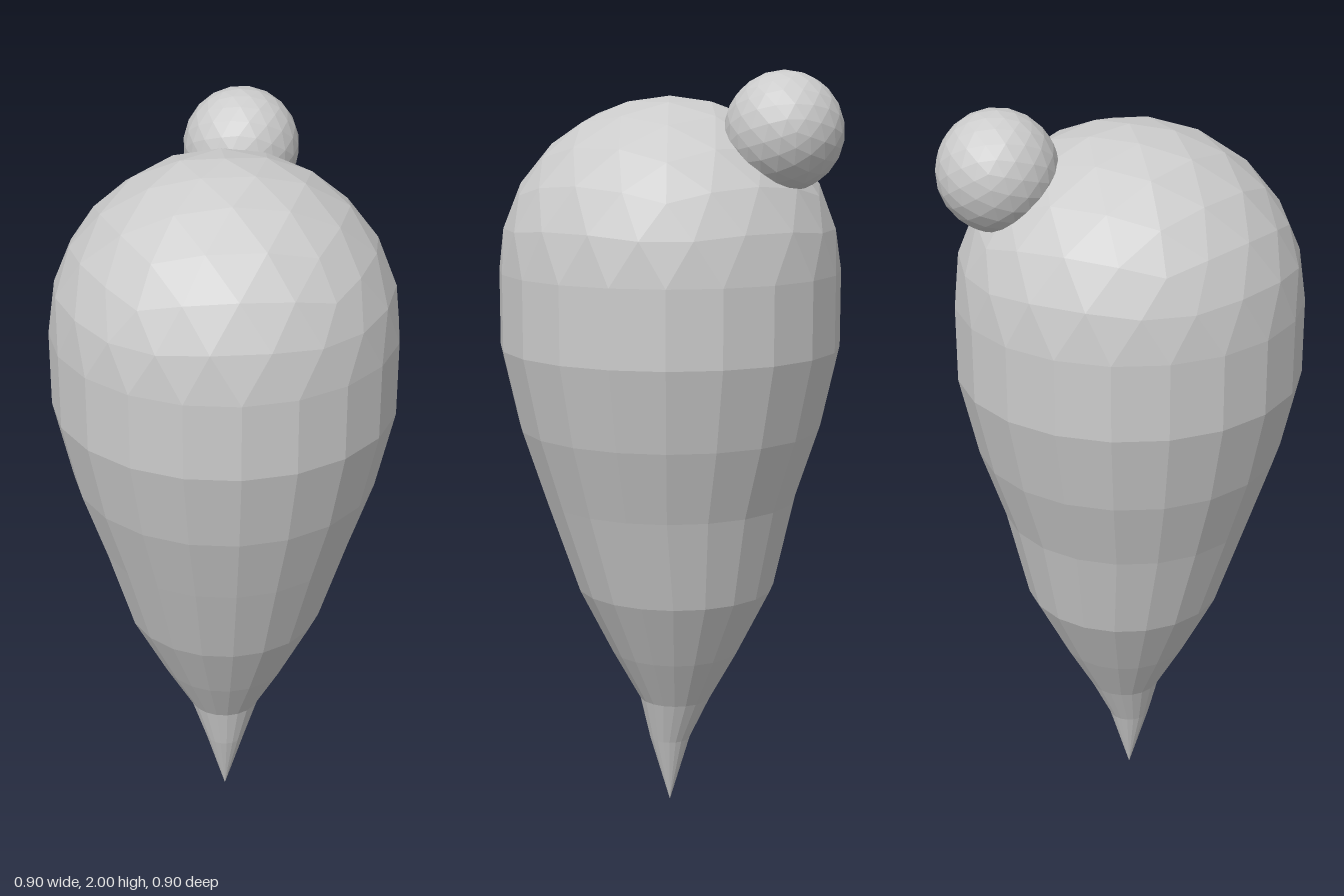
import * as THREE from 'three';

const material = new THREE.MeshStandardMaterial({ color: 0xcccccc, flatShading: true });

// Faceted sphere with a vertex at the top pole, optionally cut at its equator
function icoSphere(radius, upperHalf = false) {
  const geo = new THREE.IcosahedronGeometry(radius, 3);
  geo.rotateX(-Math.atan((1 + Math.sqrt(5)) / 2));
  geo.rotateY(Math.PI / 2);
  if (!upperHalf) return geo;
  const p = geo.attributes.position;
  const kept = [];
  for (let i = 0; i < p.count; i += 3) {
    if (p.getY(i) + p.getY(i + 1) + p.getY(i + 2) < 0) continue;
    for (let k = i; k < i + 3; k++) kept.push(p.getX(k), p.getY(k), p.getZ(k));
  }
  const half = new THREE.BufferGeometry();
  half.setAttribute('position', new THREE.Float32BufferAttribute(kept, 3));
  half.computeVertexNormals();
  return half;
}

// Twenty-sided taper; each ring is [radius, height, backward shift]
function taperGeometry() {
  const rings = [
    [0, 0.005, 0], [0.055, 0.19, 0], [0.097, 0.31, 0.015], [0.175, 0.45, 0.015],
    [0.266, 0.63, 0.015], [0.337, 0.875, 0], [0.402, 1.07, 0], [0.45, 1.285, 0], [0.45, 1.485, 0],
  ];
  const geo = new THREE.LatheGeometry(rings.map(([r, y]) => new THREE.Vector2(r, y)), 20);
  const p = geo.attributes.position;
  for (let i = 0; i < p.count; i++) {
    const shift = rings[i % rings.length][2];
    p.setX(i, p.getX(i) + shift * 0.3);
    p.setZ(i, p.getZ(i) - shift);
  }
  geo.computeVertexNormals();
  return geo;
}

export function createModel() {
  const model = new THREE.Group();
  const add = (name, geometry, x = 0, y = 0, z = 0) => {
    const mesh = new THREE.Mesh(geometry, material);
    mesh.name = name;
    mesh.position.set(x, y, z);
    model.add(mesh);
    return mesh;
  };

  // Body: pointed taper closed by a half-sphere dome
  add('taperedBody', taperGeometry());
  add('dome', icoSphere(0.45, true), 0, 1.485, 0);

  // Small ball set into the back of the dome, its pole facing outwards
  const ball = add('ball', icoSphere(0.152), 0.17, 1.85, -0.29);
  const outward = new THREE.Vector3(0.17, 0.365, -0.29).normalize();
  ball.quaternion.setFromUnitVectors(new THREE.Vector3(0, 1, 0), outward);

  return model;
}
